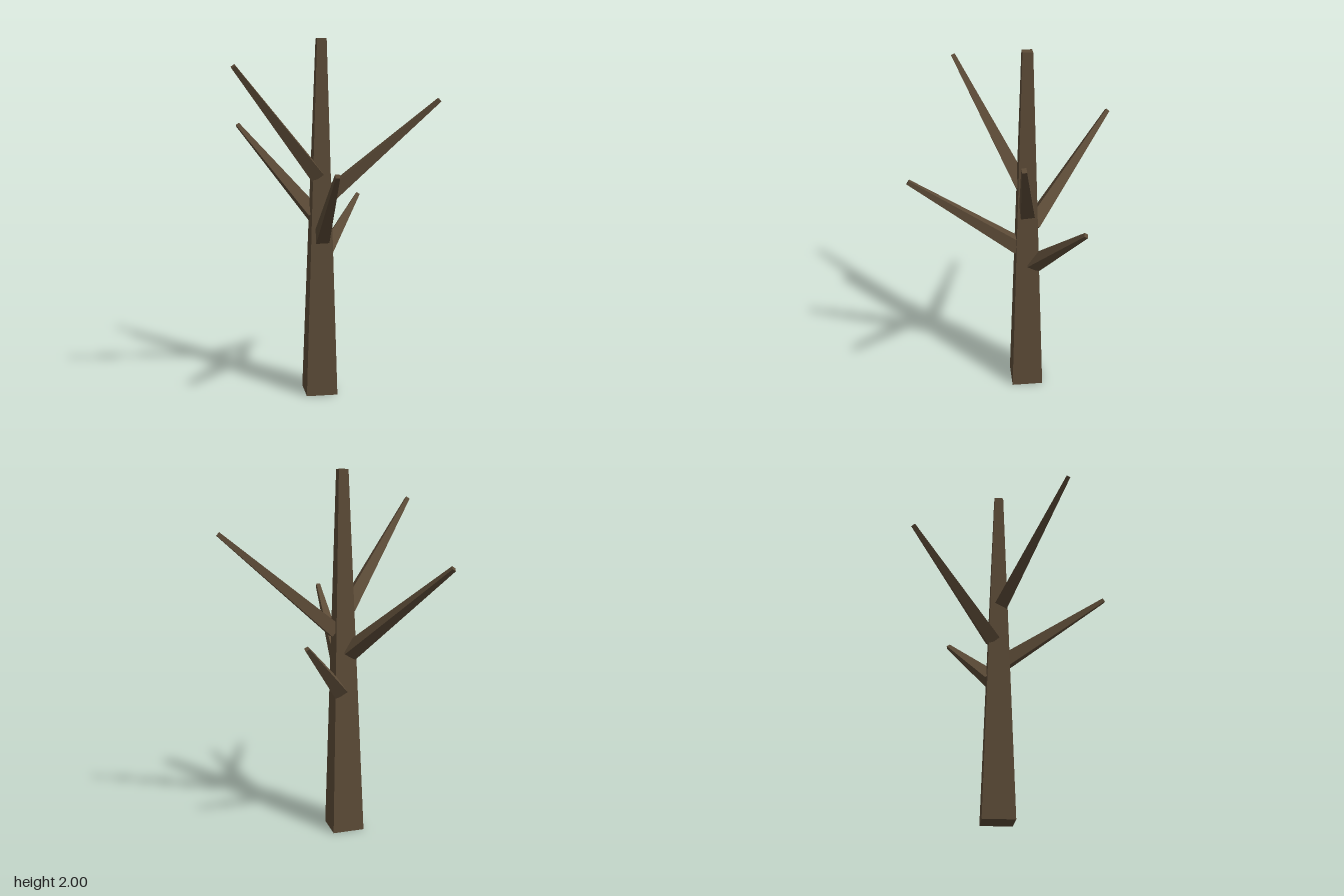
import * as THREE from 'three';

const bark = new THREE.MeshStandardMaterial({ color: 0x5c4b37, flatShading: true });
bark.name = 'bark brown';

// Four-sided tapered limb running from one point to another
function limb(name, from, to, baseRadius, tipRadius) {
  const a = new THREE.Vector3(...from);
  const b = new THREE.Vector3(...to);
  const dir = b.clone().sub(a);
  const geometry = new THREE.CylinderGeometry(tipRadius, baseRadius, dir.length(), 4);
  const mesh = new THREE.Mesh(geometry, bark);
  mesh.name = name;
  mesh.position.copy(a).add(b).multiplyScalar(0.5);
  mesh.quaternion.setFromUnitVectors(new THREE.Vector3(0, 1, 0), dir.normalize());
  return mesh;
}

export function createModel() {
  const tree = new THREE.Group();
  tree.name = 'bareTree';

  // Trunk, standing corner-on
  tree.add(limb('trunk', [0.1, 0, 0.067], [0.1, 2, 0.067], 0.125, 0.037));

  // Branches: base inside the trunk, then tip
  const branches = [
    ['lowerLeftBranch', [0.15, 0.81, 0.067], [0.49, 1.11, 0.065]],
    ['lowerFrontBranch', [0.07, 0.91, 0.1], [-0.357, 1.313, 0.488]],
    ['backBranch', [0.105, 1.025, 0.025], [0.157, 1.515, -0.587]],
    ['upperFrontBranch', [0.13, 1.14, 0.1], [0.5, 1.67, 0.585]],
    ['upperRightBranch', [0.07, 1.255, 0.06], [-0.503, 1.838, -0.04]],
  ];
  for (const [name, base, tip] of branches) tree.add(limb(name, base, tip, 0.053, 0.016));

  return tree;
}
